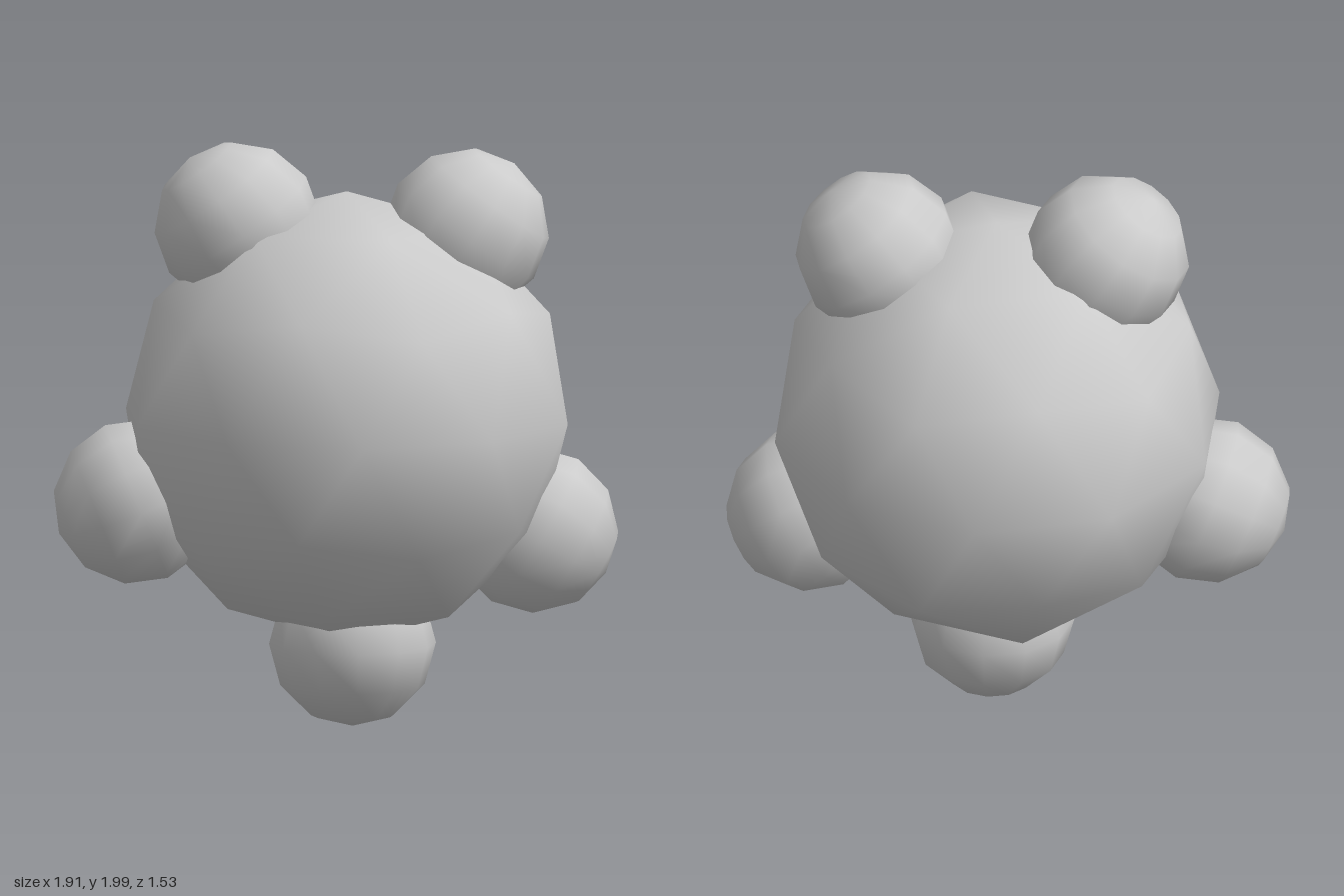
import * as THREE from 'three';

const material = new THREE.MeshStandardMaterial({ color: 0xcccccc });

export function createModel() {
  const group = new THREE.Group();

  // Large low-poly ball, turned so one corner points straight up
  const core = new THREE.Mesh(new THREE.IcosahedronGeometry(0.767, 1), material);
  core.name = 'coreBall';
  core.position.set(0.034, 1.06, 0);
  core.rotation.z = -Math.atan2(0.5257, 0.8507);
  group.add(core);

  // Small balls around the core: x, y, and outward tilt in degrees clockwise from up
  const knobs = [
    ['upperRightBall', -0.335, 1.717, -35],
    ['upperLeftBall', 0.436, 1.687, 35.5],
    ['lowerLeftBall', 0.669, 0.665, 121.5],
    ['bottomBall', 0.053, 0.287, 180],
    ['lowerRightBall', -0.677, 0.777, 248],
  ];
  const knobGeometry = new THREE.SphereGeometry(0.282, 12, 6);
  for (const [name, x, y, tilt] of knobs) {
    const knob = new THREE.Mesh(knobGeometry, material);
    knob.name = name;
    knob.position.set(x, y, 0);
    knob.rotation.z = -THREE.MathUtils.degToRad(tilt);
    group.add(knob);
  }
  return group;
}
